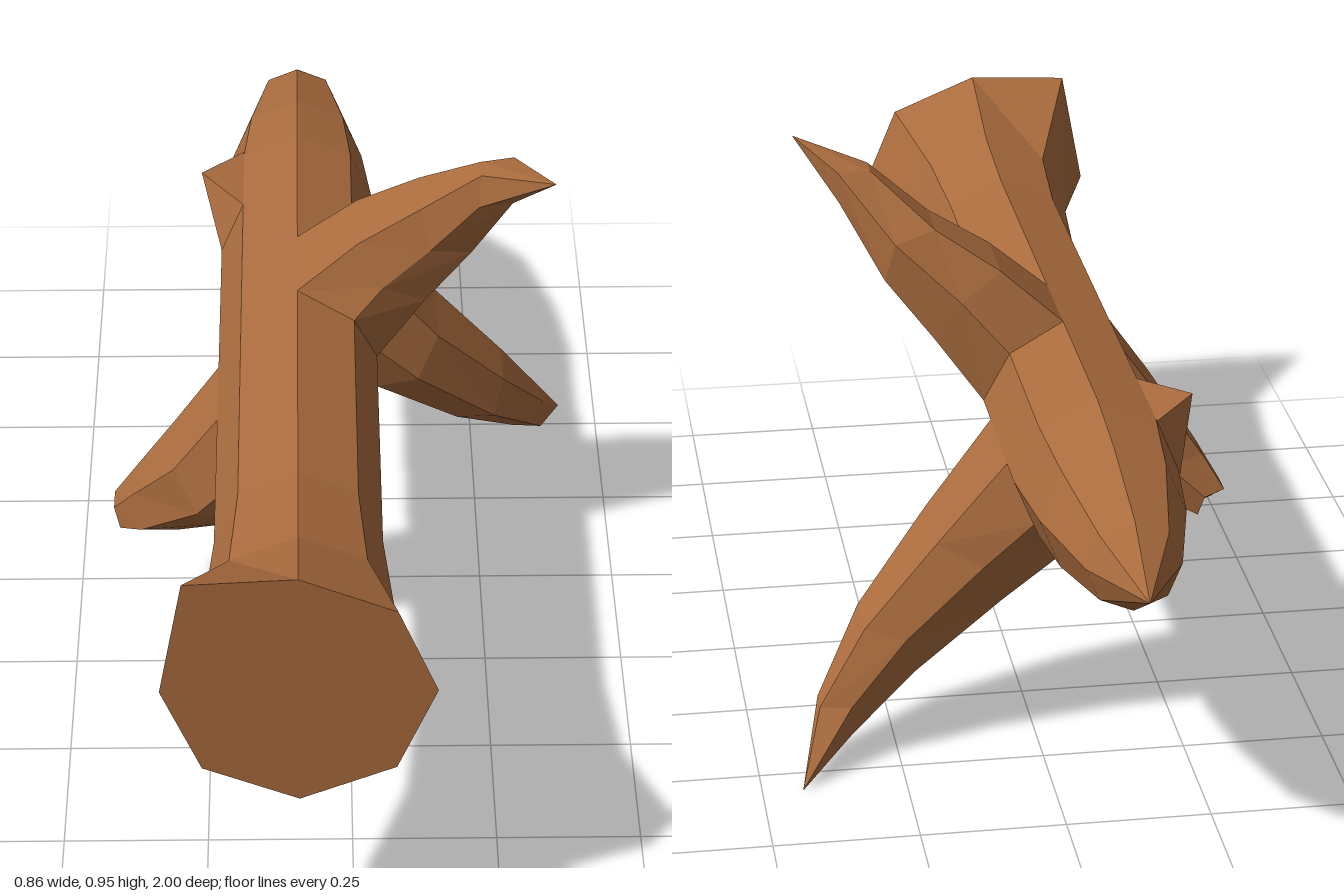
import * as THREE from 'three';

const bark = new THREE.MeshStandardMaterial({ color: 0xaa6c3e, flatShading: true });
const V = (x, y, z) => new THREE.Vector3(x, y, z);

// Skin a list of equal-sized point rings into a closed, flat-shaded solid
function loft(name, rings) {
  const tris = [];
  const add = (a, b, c) => {
    const n = b.clone().sub(a).cross(c.clone().sub(a));
    if (n.lengthSq() > 1e-12) tris.push([a, b, c]);
  };
  const n = rings[0].length;
  for (let i = 0; i < rings.length - 1; i++) {
    for (let j = 0; j < n; j++) {
      const k = (j + 1) % n, p = rings[i], q = rings[i + 1];
      add(p[j], p[k], q[k]);
      add(p[j], q[k], q[j]);
    }
  }
  const first = rings[0], last = rings[rings.length - 1];
  for (let j = 1; j < n - 1; j++) {
    add(first[0], first[j + 1], first[j]);
    add(last[0], last[j], last[j + 1]);
  }
  // Turn every face outward if the rings ran the other way round
  const o = first[0];
  const volume = tris.reduce((s, [a, b, c]) =>
    s + a.clone().sub(o).dot(b.clone().sub(o).cross(c.clone().sub(o))), 0);
  if (volume < 0) tris.forEach((t) => t.reverse());
  const geometry = new THREE.BufferGeometry().setFromPoints(tris.flat());
  geometry.computeVertexNormals();
  const mesh = new THREE.Mesh(geometry, bark);
  mesh.name = name;
  return mesh;
}

// Corner i of the stem's octagon
const STEM_RADIUS = 0.143;
function stemCorner(i, r, z) {
  const a = (i * Math.PI) / 4;
  return V(-0.09 + r * Math.cos(a), 0.53 + r * Math.sin(a), z);
}

// Six-sided ring: ridges at zFront and zBack, two narrower flat flanks between
function hexRing(upper, front, back, lower, zFront, zBack) {
  const mid = (zFront + zBack) / 2, inset = 0.72 * (zFront - zBack) / 2;
  return [
    V(upper.x, upper.y, mid + inset), V(front.x, front.y, zFront),
    V(lower.x, lower.y, mid + inset), V(lower.x, lower.y, mid - inset),
    V(back.x, back.y, zBack), V(upper.x, upper.y, mid - inset),
  ];
}

// Thorn rooted around one stem corner; each ring is
// [x, y, halfWidth, zFront, zBack, tilt], tilt pushing the front ridge outward
function thorn(name, corner, zFront, zBack, rings) {
  const root = stemCorner(corner, STEM_RADIUS, 0);
  const base = hexRing(stemCorner(corner + 1, STEM_RADIUS, 0), root, root,
    stemCorner(corner - 1, STEM_RADIUS, 0), zFront, zBack);
  const angle = (corner * Math.PI) / 4;
  const out = V(Math.cos(angle), Math.sin(angle), 0);
  const across = V(-out.y, out.x, 0);
  return loft(name, [base, ...rings.map(([x, y, h, zf, zb, tilt]) => {
    const at = (dir, d) => V(x, y, 0).addScaledVector(dir, d);
    return hexRing(at(across, h), at(out, tilt), at(out, -tilt), at(across, -h), zf, zb);
  })]);
}

export function createModel() {
  const group = new THREE.Group();
  group.name = 'thornyBranch';

  // Octagonal stem: flared foot, straight middle, pointed end
  const profile = [
    [1, 0.225], [0.8, 0.16], [0.6, STEM_RADIUS], [-0.5, STEM_RADIUS],
    [-0.66, 0.125], [-0.86, 0.08], [-1, 0],
  ];
  const stem = profile.map(([z, r]) =>
    Array.from({ length: 8 }, (_, i) => stemCorner(i, r, z)));
  stem[0][3].set(-0.275, 0.745, 1); // one corner of the foot is pulled out
  group.add(loft('stem', stem));

  // Two long curved thorns
  group.add(thorn('upperThorn', 1, 0.075, -0.175, [
    [0.078, 0.705, 0.085, 0.06, -0.145, -0.02],
    [0.175, 0.79, 0.064, 0.05, -0.1, -0.04],
    [0.262, 0.892, 0.04, 0.065, 0, -0.045],
    [0.36, 0.95, 0, 0.135, 0.135, 0],
  ]));
  group.add(thorn('lowerThorn', 7, -0.19, -0.46, [
    [0.117, 0.322, 0.081, -0.22, -0.44, 0.028],
    [0.26, 0.188, 0.062, -0.3, -0.445, 0.038],
    [0.36, 0.08, 0.04, -0.415, -0.475, 0.036],
    [0.43, 0, 0, -0.565, -0.565, 0],
  ]));

  // Shorter thorn with a blunt end
  group.add(thorn('bluntThorn', 5, 0.27, 0.04, [
    [-0.255, 0.358, 0.083, 0.26, 0.045, 0.025],
    [-0.35, 0.265, 0.057, 0.165, 0.05, 0.04],
    [-0.405, 0.215, 0.035, 0.11, 0.04, 0.02],
  ]));

  // Small bud on the side of the stem
  const tip = V(-0.27, 0.64, -0.42);
  group.add(loft('bud', [
    [[3, -0.32], [4, -0.32], [4, -0.51], [3, -0.51]].map(([i, z]) => stemCorner(i, STEM_RADIUS, z)),
    [tip, tip, tip, tip],
  ]));

  return group;
}
